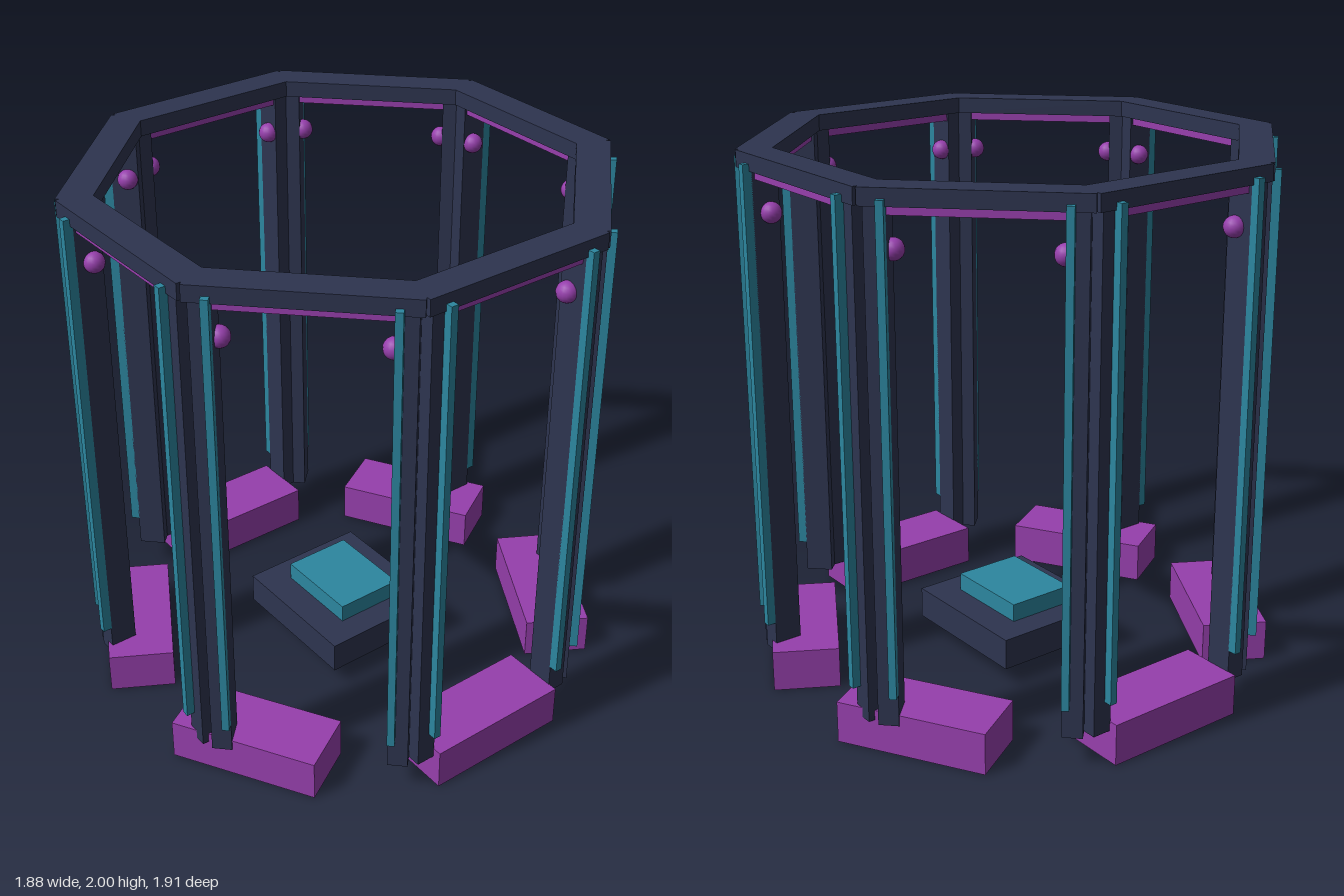
import * as THREE from 'three';

const navy = new THREE.MeshStandardMaterial({ name: 'navy', color: 0x2d344f });
const purple = new THREE.MeshStandardMaterial({ name: 'purple', color: 0x963fac });
const teal = new THREE.MeshStandardMaterial({ name: 'teal', color: 0x2c869f });

// Box given by its [min, max] range on each axis
function box(name, material, [x0, x1], [y0, y1], [z0, z1]) {
  const mesh = new THREE.Mesh(new THREE.BoxGeometry(x1 - x0, y1 - y0, z1 - z0), material);
  mesh.position.set((x0 + x1) / 2, (y0 + y1) / 2, (z0 + z1) / 2);
  mesh.name = name;
  return mesh;
}

// One side of the octagon, facing +z: top beam, under-beam, two posts, strips and lamps
function createBay() {
  const bay = new THREE.Group();
  bay.name = 'bay';
  bay.add(box('topBeam', navy, [-0.37, 0.37], [1.94, 2], [0.79, 0.91]));
  bay.add(box('underBeam', purple, [-0.33, 0.33], [1.91, 1.945], [0.81, 0.89]));
  for (const side of [-1, 1]) {
    const range = (a, b) => (side > 0 ? [a, b] : [-b, -a]);
    bay.add(box('post', navy, range(0.28, 0.353), [0.12, 1.95], [0.8, 0.903]));
    bay.add(box('lightStrip', teal, range(0.28, 0.307), [0.24, 1.965], [0.9, 0.934]));
    const lamp = new THREE.Mesh(new THREE.SphereGeometry(0.038, 16, 12), purple);
    lamp.name = 'lamp';
    lamp.position.set(side * 0.272, 1.79, 0.838);
    bay.add(lamp);
  }
  return bay;
}

export function createModel() {
  const model = new THREE.Group();
  model.name = 'octagonalPavilion';

  // Eight identical bays
  for (let i = 0; i < 8; i++) {
    const bay = createBay();
    bay.rotation.y = (i * Math.PI) / 4;
    model.add(bay);
  }

  // Six base blocks around the floor
  for (let i = 0; i < 6; i++) {
    const pivot = new THREE.Group();
    pivot.name = 'baseBlock';
    pivot.add(box('block', purple, [0.692, 0.938], [0, 0.157], [-0.282, 0.282]));
    pivot.rotation.y = (i * Math.PI) / 3;
    model.add(pivot);
  }

  // Central plinth
  model.add(box('plinth', navy, [-0.275, 0.275], [0.07, 0.19], [-0.25, 0.25]));
  model.add(box('plinthTop', teal, [-0.172, 0.172], [0.185, 0.26], [-0.134, 0.134]));

  return model;
}
